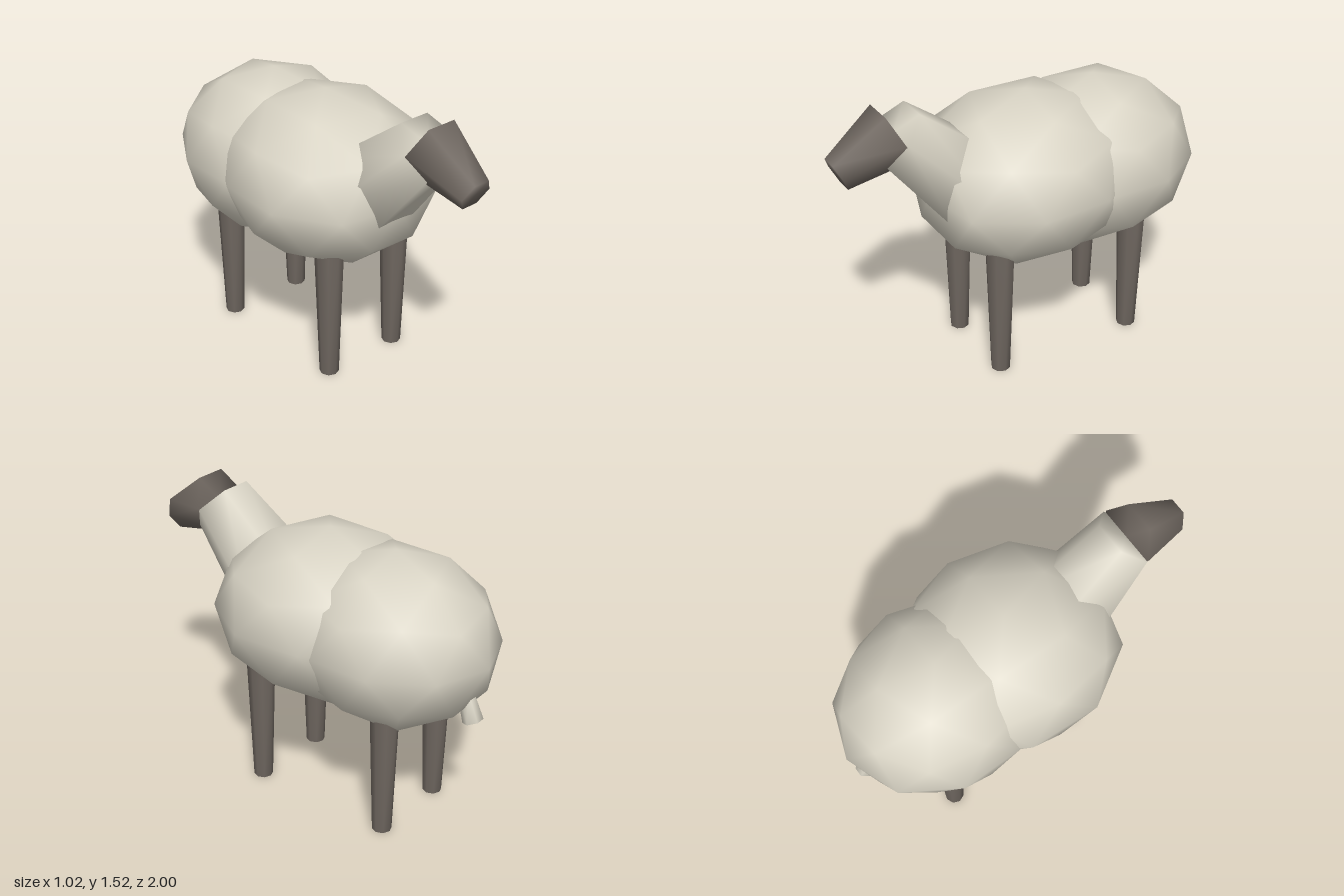
import * as THREE from 'three';
import { mergeVertices } from 'three/addons/utils/BufferGeometryUtils.js';

const mat = (name, color) => Object.assign(new THREE.MeshStandardMaterial({ color }), { name });

// Once-divided icosahedron standing on a corner, stretched to the given radii
function woolBall(rx, ry, rz) {
  return new THREE.IcosahedronGeometry(1, 1)
    .rotateX(-Math.atan2((1 + Math.sqrt(5)) / 2, 1))
    .rotateY(Math.PI / 2)
    .scale(rx, ry, rz);
}

// Smooth tapered prism between two points, given as [x, y, z] with equal x
function taper(from, to, r0, r1, sides) {
  const a = new THREE.Vector3(...from), b = new THREE.Vector3(...to);
  let geo = new THREE.CylinderGeometry(r1, r0, a.distanceTo(b), sides);
  geo.deleteAttribute('normal');
  geo.deleteAttribute('uv');
  geo = mergeVertices(geo, 1e-4);
  geo.computeVertexNormals();
  const mid = a.clone().add(b).multiplyScalar(0.5);
  return geo.rotateY(Math.PI / 2)
    .rotateX(Math.atan2(b.z - a.z, b.y - a.y))
    .translate(mid.x, mid.y, mid.z);
}

export function createModel() {
  const group = new THREE.Group();
  const wool = mat('wool', 0xd9d4c5);
  const skin = mat('darkSkin', 0x6e665f);
  const add = (name, geo, material) => {
    const mesh = new THREE.Mesh(geo, material);
    mesh.name = name;
    group.add(mesh);
  };

  // Chest: slightly wider toward the front, with a blunted front
  const chest = woolBall(0.525, 0.45, 0.605);
  const p = chest.attributes.position;
  for (let i = 0; i < p.count; i++) {
    const z = p.getZ(i);
    p.setX(i, p.getX(i) * (1 + 0.12 * z));
    p.setZ(i, Math.min(z, 0.545));
  }
  add('chest', chest.translate(0, 0.99, -0.055), wool);

  // Rump
  add('rump', woolBall(0.478, 0.456, 0.55).translate(0, 0.975, -0.45), wool);

  // Neck, head and tail
  add('neck', taper([0, 1.006, 0.269], [0, 1.388, 0.665], 0.25, 0.167, 6), wool);
  add('head', taper([0, 1.388, 0.676], [0, 1.25, 0.965], 0.165, 0.09, 6), skin);
  add('tail', taper([0, 0.83, -0.868], [0, 0.667, -0.928], 0.038, 0.052, 6), wool);

  // Legs
  for (const [end, z] of [['front', 0.222], ['rear', -0.567]]) {
    for (const [side, x] of [['Left', 0.221], ['Right', -0.221]]) {
      add(`${end}${side}Leg`, taper([x, 0, z], [x, 0.8, z], 0.05, 0.077, 8), skin);
    }
  }
  return group;
}
